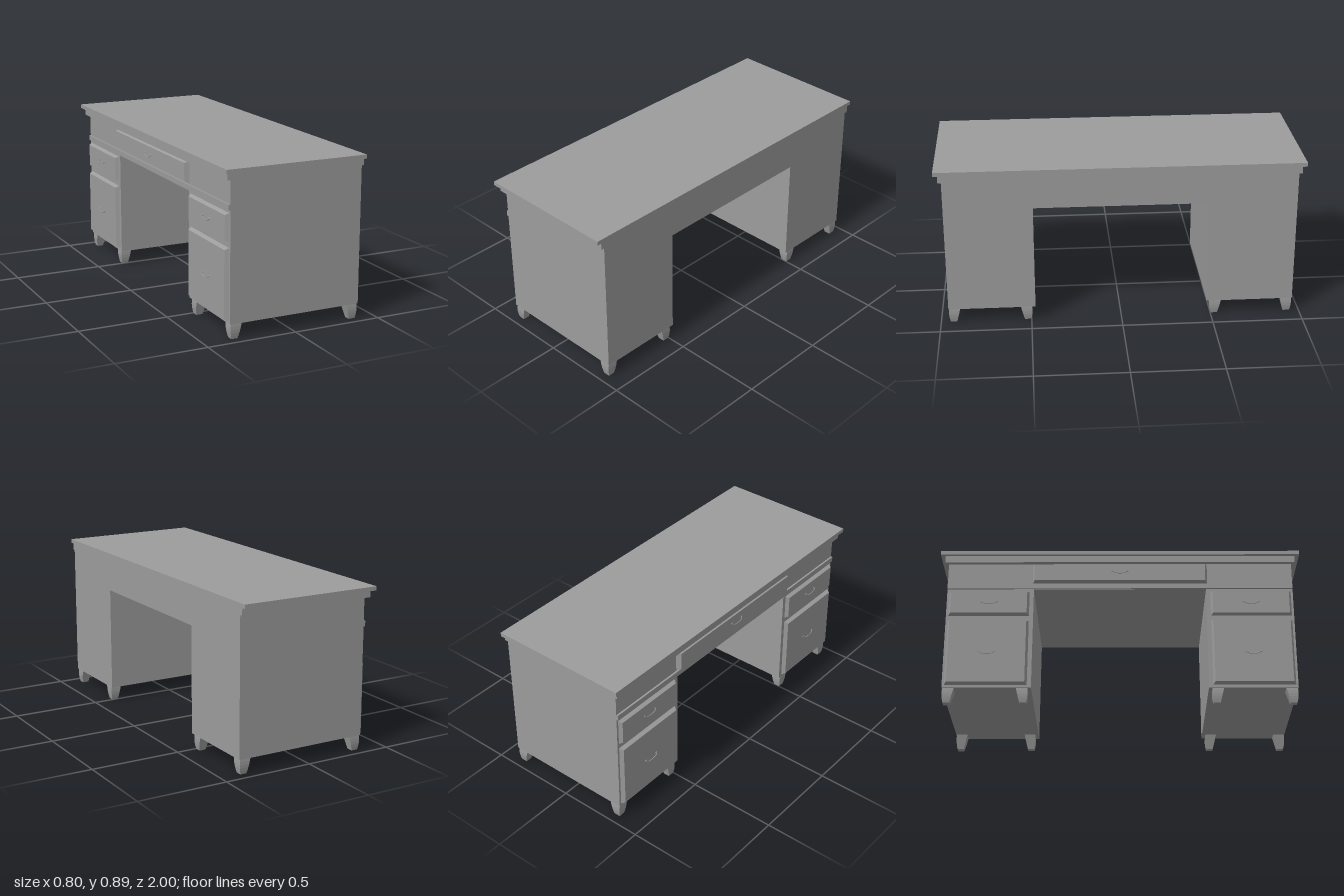
import * as THREE from 'three';

const material = new THREE.MeshStandardMaterial({ color: 0x9c9c9c, flatShading: true });
const smooth = new THREE.MeshStandardMaterial({ color: 0x9c9c9c });
const FACE = -0.357; // x of the carcass on the drawer side

function add(parent, name, geometry, mat = material) {
  const mesh = new THREE.Mesh(geometry, mat);
  mesh.name = name;
  parent.add(mesh);
  return mesh;
}

// Box given by its limits on each axis
function slab(x0, x1, y0, y1, z0, z1, ySegments = 1) {
  return new THREE.BoxGeometry(x1 - x0, y1 - y0, z1 - z0, 1, ySegments, 1)
    .translate((x0 + x1) / 2, (y0 + y1) / 2, (z0 + z1) / 2);
}

// Drawer front whose outer face is inset on all four sides
function drawerFront(depth, height, width) {
  const geometry = new THREE.BoxGeometry(depth, height, width);
  const p = geometry.attributes.position;
  for (let i = 0; i < p.count; i++) {
    if (p.getX(i) > 0) continue;
    p.setY(i, p.getY(i) - Math.sign(p.getY(i)) * 0.011);
    p.setZ(i, p.getZ(i) - Math.sign(p.getZ(i)) * 0.012);
  }
  geometry.computeVertexNormals();
  return geometry;
}

// Drooping pull with a small round plate at each end
function makeHandle() {
  const handle = new THREE.Group();
  handle.name = 'handle';
  const points = [
    [0.003, 0.006, -0.042], [-0.004, 0.005, -0.042], [-0.006, -0.003, -0.034],
    [-0.006, -0.009, -0.015], [-0.006, -0.009, 0.015], [-0.006, -0.003, 0.034],
    [-0.004, 0.005, 0.042], [0.003, 0.006, 0.042],
  ].map((v) => new THREE.Vector3(...v));
  add(handle, 'handleBar', new THREE.TubeGeometry(new THREE.CatmullRomCurve3(points), 32, 0.0022, 8), smooth);
  for (const z of [-0.042, 0.042]) {
    add(handle, 'handlePlate', new THREE.CylinderGeometry(0.005, 0.006, 0.004, 12).rotateZ(Math.PI / 2))
      .position.set(-0.001, 0.006, z);
  }
  return handle;
}

function makeDrawer(name, y0, y1, z0, z1, outer, handleY) {
  const drawer = new THREE.Group();
  drawer.name = name;
  const depth = FACE - outer;
  add(drawer, 'drawerFront', drawerFront(depth, y1 - y0, z1 - z0))
    .position.set(FACE - depth / 2, (y0 + y1) / 2, (z0 + z1) / 2);
  const handle = makeHandle();
  handle.position.set(outer, handleY, (z0 + z1) / 2);
  drawer.add(handle);
  return drawer;
}

// Curved tapering foot; the outer sides (+x and +z) stay nearly upright
function footGeometry() {
  const h = 0.085, w = 0.062;
  const geometry = slab(-w, 0, 0, h, -w, 0, 5);
  const p = geometry.attributes.position;
  for (let i = 0; i < p.count; i++) {
    const t = 1 - p.getY(i) / h;
    const outer = 0.003 * Math.sin(t * Math.PI) - 0.005 * t * t;
    const inner = -w + 0.021 * t;
    p.setX(i, p.getX(i) > -w / 2 ? outer : inner);
    p.setZ(i, p.getZ(i) > -w / 2 ? outer : inner);
  }
  geometry.computeVertexNormals();
  return geometry;
}

export function createModel() {
  const desk = new THREE.Group();
  desk.name = 'desk';

  // Top board and the moulding below it
  add(desk, 'topBoard', slab(-0.4, 0.4, 0.873, 0.895, -1, 1));
  add(desk, 'topMoulding', slab(-0.382, 0.399, 0.834, 0.873, -0.975, 0.975));

  // Carcass: two pedestals joined above the knee space
  const outline = new THREE.Shape([
    [-0.957, 0.082], [-0.477, 0.082], [-0.477, 0.676], [0.477, 0.676],
    [0.477, 0.082], [0.957, 0.082], [0.957, 0.835], [-0.957, 0.835],
  ].map(([z, y]) => new THREE.Vector2(z, y)));
  const carcass = new THREE.ExtrudeGeometry(outline, { depth: 0.399 - FACE, bevelEnabled: false });
  add(desk, 'carcass', carcass.rotateY(Math.PI / 2).translate(FACE, 0, 0));

  // Rail under the top drawer
  add(desk, 'rail', slab(-0.367, FACE, 0.677, 0.707, -0.957, 0.957));

  // Drawers
  desk.add(makeDrawer('centreDrawer', 0.71, 0.832, -0.485, 0.485, -0.382, 0.772));
  for (const s of [-1, 1]) {
    const z0 = Math.min(s * 0.5, s * 0.945), z1 = Math.max(s * 0.5, s * 0.945);
    desk.add(makeDrawer('middleDrawer', 0.511, 0.661, z0, z1, -0.376, 0.585));
    desk.add(makeDrawer('lowerDrawer', 0.098, 0.481, z0, z1, -0.378, 0.281));
  }

  // Feet at the corners of both pedestals
  const foot = footGeometry();
  for (const s of [-1, 1]) {
    for (const [x, turnX] of [[-0.35, -1], [0.392, 1]]) {
      for (const [z, turnZ] of [[0.953, 1], [0.497, -1]]) {
        const mesh = add(desk, 'foot', foot);
        mesh.position.set(x, 0, s * z);
        mesh.scale.set(turnX, 1, s * turnZ);
      }
    }
  }
  return desk;
}
